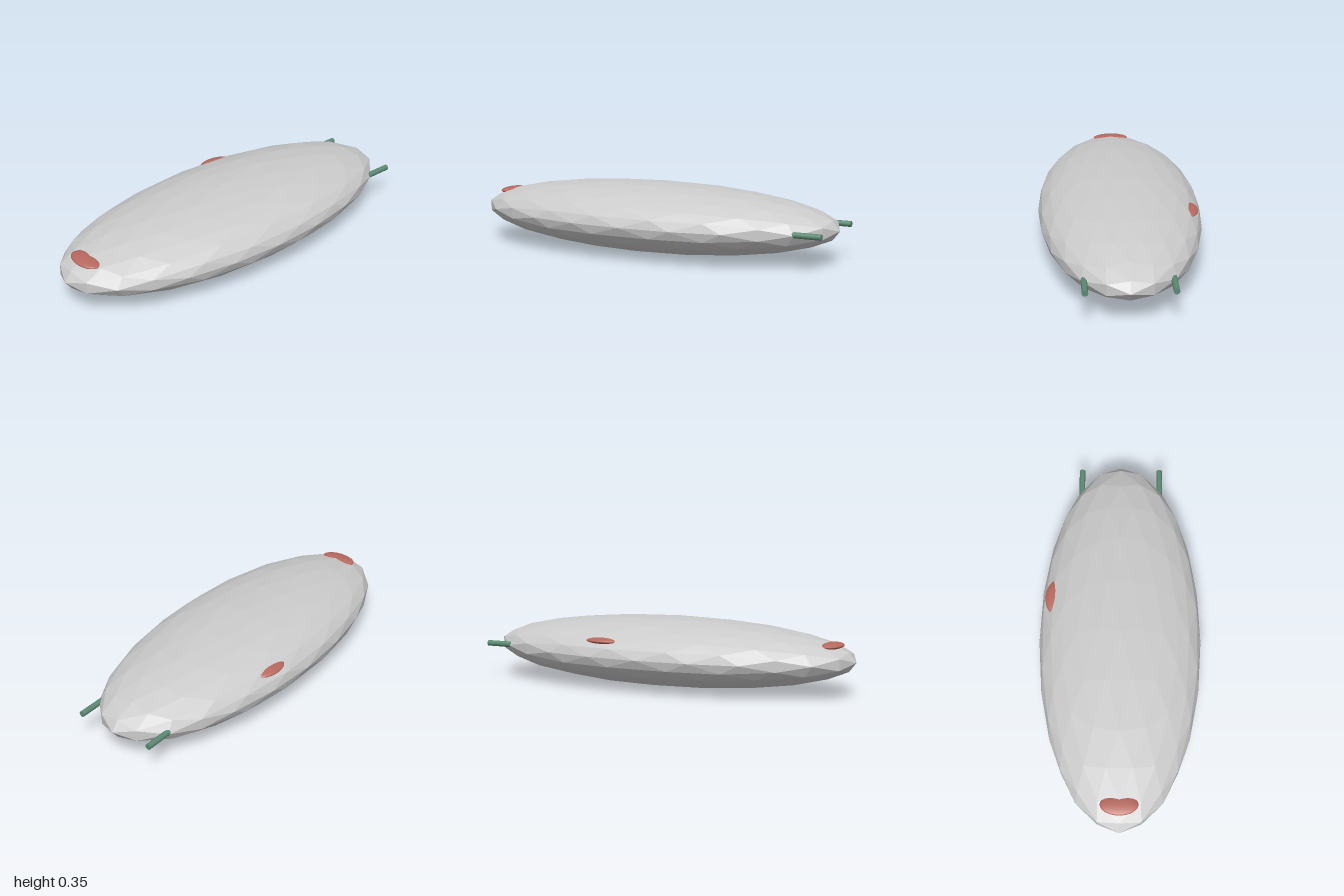
import * as THREE from 'three';

const mat = (color, extra = {}) => new THREE.MeshStandardMaterial({ color, ...extra });

// Icosphere made by halving edges twice
function icosphere() {
  const base = new THREE.IcosahedronGeometry(1, 1).attributes.position;
  const index = Array.from({ length: base.count }, (_, i) => i);
  return new THREE.PolyhedronGeometry(Array.from(base.array), index, 1, 1);
}

export function createModel() {
  const model = new THREE.Group();
  const red = mat(0xb8695f);
  const green = mat(0x5c8a74);

  const add = (name, geometry, material, x, y, z) => {
    const mesh = new THREE.Mesh(geometry, material);
    mesh.name = name;
    mesh.position.set(x, y, z);
    model.add(mesh);
    return mesh;
  };

  // Faceted flattened hull
  const hull = icosphere().scale(0.415, 0.175, 0.998);
  add('hull', hull, mat(0xcccccc, { flatShading: true }), 0, 0.177, 0);

  // Flat red domes half sunk into the hull
  const dome = new THREE.SphereGeometry(1, 32, 16).scale(0.095, 0.016, 0.055);
  add('frontDome', dome, red, 0, 0.254, 0.872);
  add('sideDome', dome, red, -0.33, 0.253, -0.215).rotation.y = Math.PI / 2 - 0.05;

  // Pair of rods at the back
  const rod = new THREE.CylinderGeometry(0.015, 0.015, 0.15, 12).rotateX(Math.PI / 2);
  for (const [side, name] of [[1, 'leftRod'], [-1, 'rightRod']]) {
    add(name, rod, green, side * 0.207, 0.18, -0.907);
  }

  return model;
}
